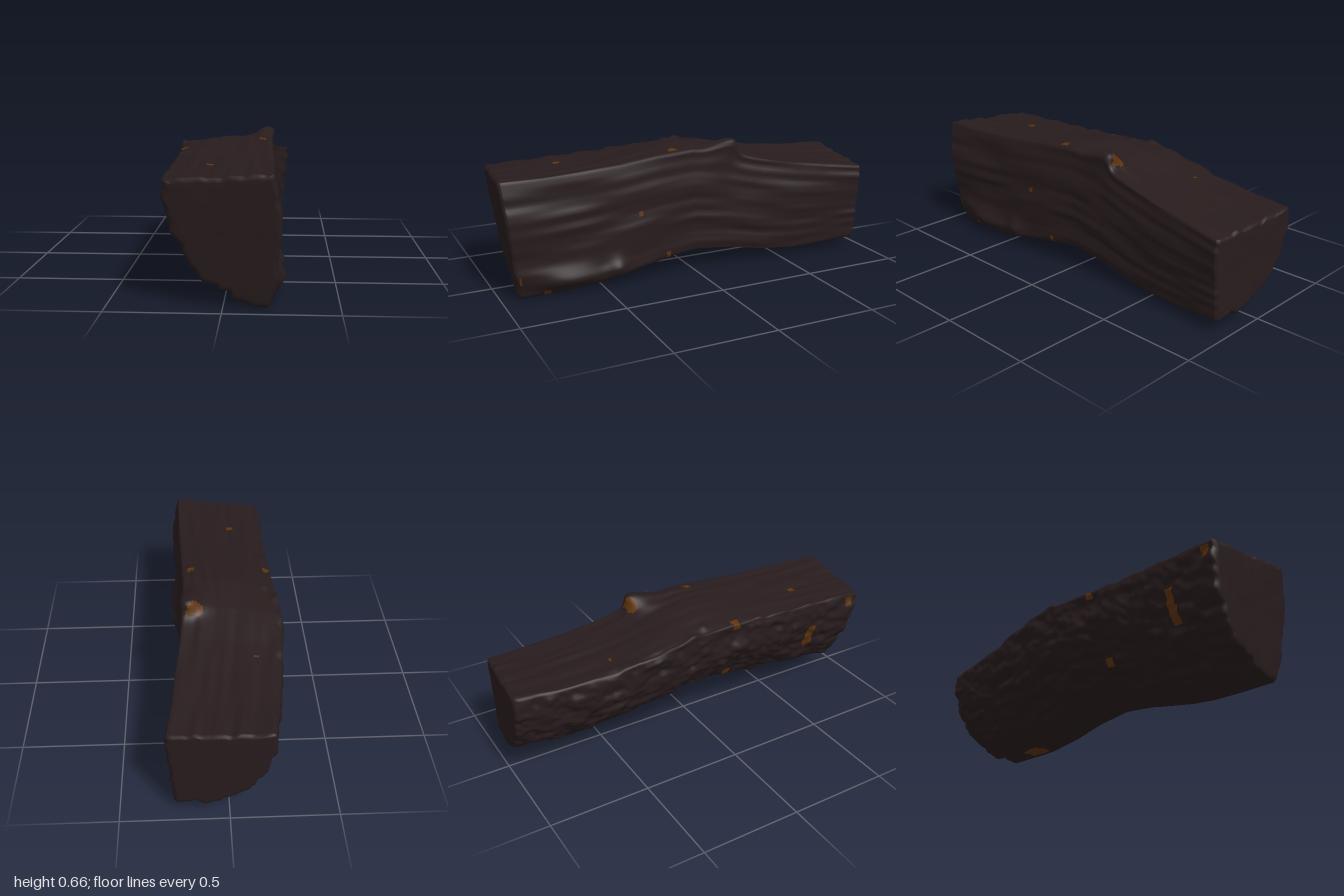
import * as THREE from 'three';

const RINGS = 170, SIDES = 150;

// Seeded smooth noise, -1..1
const hash = (a, b) => { const n = Math.sin(a * 127.1 + b * 311.7) * 43758.5453; return n - Math.floor(n); };
function noise(x, y) {
  const i = Math.floor(x), j = Math.floor(y), ease = t => t * t * (3 - 2 * t);
  const u = ease(x - i), v = ease(y - j), mix = THREE.MathUtils.lerp;
  return 2 * mix(mix(hash(i, j), hash(i + 1, j), u), mix(hash(i, j + 1), hash(i + 1, j + 1), u), v) - 1;
}
const { smoothstep } = THREE.MathUtils;

// Wedge along the log: z, top-left x, top-right x, top-left y, top-right y, bottom x, bottom y
const STATIONS = [
  [-1.0, -0.195, 0.275, 0.495, 0.462, 0.245, 0.06],
  [-0.8, -0.225, 0.25, 0.495, 0.485, 0.235, 0.05],
  [-0.6, -0.25, 0.235, 0.508, 0.515, 0.225, 0.04],
  [-0.4, -0.275, 0.21, 0.535, 0.55, 0.22, 0.055],
  [-0.2, -0.285, 0.19, 0.575, 0.595, 0.21, 0.09],
  [0.0, -0.27, 0.19, 0.59, 0.63, 0.205, 0.11],
  [0.2, -0.255, 0.20, 0.585, 0.62, 0.215, 0.10],
  [0.4, -0.25, 0.205, 0.575, 0.60, 0.225, 0.065],
  [0.6, -0.25, 0.21, 0.565, 0.59, 0.22, 0.032],
  [0.8, -0.25, 0.215, 0.56, 0.585, 0.21, 0.018],
  [1.0, -0.25, 0.215, 0.555, 0.585, 0.195, 0.007],
];
function station(z) {
  const f = (z + 1) * 5, i = Math.min(9, Math.floor(f));
  return STATIONS[i].map((v, k) => v + (STATIONS[i + 1][k] - v) * (f - i));
}

// Clean cross-section: split top, split right side, curved bark back to the start
const TOP = 0.27, SIDE = 0.55;
function contour(s, z) {
  const [, xl, xr, yl, yr, xb, yb] = station(z);
  const middle = Math.exp(-((z / 0.3) ** 2));
  if (s < TOP) {
    const t = s / TOP;
    return [xl + (xr - xl) * t, yl + (yr - yl) * t + 0.02 * middle * Math.sin(Math.PI * t)];
  }
  if (s < SIDE) {
    const t = (s - TOP) / (SIDE - TOP), bulge = 0.014 + 0.026 * smoothstep(z, 0.5, 1);
    return [xr + (xb - xr) * t + bulge * Math.sin(Math.PI * t), yr + (yb - yr) * t];
  }
  // The bark is fuller towards the back
  const t = (s - SIDE) / (1 - SIDE), u = 1 - t, w = xb - xl, h = yl - yb;
  const full = 1 - smoothstep(z, -1, 0);
  const bez = (a, b, c, d) => a * u * u * u + 3 * b * u * u * t + 3 * c * u * t * t + d * t * t * t;
  return [
    bez(xb, xb - (0.55 + 0.08 * full) * w, xl - (0.03 + 0.03 * middle) * w, xl),
    bez(yb, yb + (0.03 - 0.04 * full) * h, yl - (0.58 + 0.06 * full) * h, yl),
  ];
}

// Knots and flakes: centre, radius, push
const KNOTS = [
  [[0.16, 0.62, -0.15], [0.07, 0.09, 0.075], [0.015, 0.06, -0.075]],
  [[-0.27, 0.58, -0.10], [0.025, 0.04, 0.03], [0, 0.022, 0]],
  [[-0.22, 0.59, -0.02], [0.02, 0.04, 0.025], [0, 0.012, 0]],
  [[0.24, 0.10, 0.43], [0.06, 0.05, 0.05], [0.03, 0, 0]],
  [[0.23, 0.085, 0.69], [0.08, 0.05, 0.18], [0.045, 0, 0]],
];

// Slanted saw cuts
const frontCut = (x, y) => 0.982 + 0.1 * (x - 0.2) + 0.13 * (y - 0.585);
const backCut = (x, y) => -0.94 - 0.1 * (0.28 - x) - 0.02 * (y - 0.3);

function surfacePoint(i, j) {
  const z0 = -1 + 2 * i / RINGS, s = j / SIDES, e = 0.004;
  const a = contour((s - e + 1) % 1, z0), b = contour((s + e) % 1, z0);
  let [x, y] = contour(s, z0);
  const dx = b[0] - a[0], dy = b[1] - a[1], len = Math.hypot(dx, dy) || 1;
  // Long grain on split faces, lumpy flakes on bark, a ragged upper bark edge
  const barkiness = smoothstep(s, SIDE, SIDE + 0.04) * (1 - smoothstep(s, 0.98, 1));
  const grain = 0.006 * noise(s * 55, z0 * 3 + 9) + 0.005 * noise(s * 16, z0 * 4);
  const bark = 0.011 * noise(s * 50, z0 * 13) + 0.011 * noise(s * 24 + 5, z0 * 7) + 0.006 * noise(s * 70, z0 * 32);
  const rim = Math.exp(-((Math.min(s, 1 - s) / 0.015) ** 2));
  const d = (s === 0 ? 0 : 1) * (grain * (1 - barkiness) + bark * barkiness);
  x -= d * dy / len;
  y += d * dx / len + rim * 0.01 * noise(z0 * 18, 3.5);
  const t = i / RINGS;
  const p = [x, y, backCut(x, y) * (1 - t) + frontCut(x, y) * t];
  const base = [...p];
  for (const [c, r, push] of KNOTS) {
    const q = c.reduce((sum, v, k) => sum + ((base[k] - v) / r[k]) ** 2, 0);
    for (let k = 0; k < 3; k++) p[k] += push[k] * Math.exp(-q);
  }
  p[1] = Math.max(p[1], 0);
  return p;
}

// Exposed wood spots: centre and half size
const SPOTS = [
  [[0.22, 0.36, 0.30], [0.06, 0.012, 0.012]],
  [[-0.08, 0.57, 0.62], [0.016, 0.06, 0.016]],
  [[0.145, 0.64, 0.10], [0.018, 0.06, 0.02]],
  [[-0.15, 0.52, -0.50], [0.01, 0.06, 0.01]],
  [[0.13, 0.62, -0.23], [0.04, 0.03, 0.025]],
  [[-0.25, 0.57, 0.15], [0.022, 0.03, 0.022]],
  [[-0.23, 0.33, 0.65], [0.08, 0.085, 0.024]],
  [[-0.16, 0.22, 0.18], [0.05, 0.03, 0.022]],
  [[-0.25, 0.51, 0.88], [0.04, 0.025, 0.02]],
  [[0.17, 0.04, -0.67], [0.035, 0.05, 0.075]],
  [[0.225, 0.12, 0.15], [0.03, 0.015, 0.012]],
  [[0.23, 0.11, 0.92], [0.05, 0.026, 0.016]],
  [[0.23, 0.025, 0.78], [0.025, 0.018, 0.014]],
];
const inSpot = p => SPOTS.some(([c, r]) => c.every((v, k) => Math.abs(p[k] - v) < r[k]));

// Skin a list of closed rows; spotted faces go to the second material
function skin(rows, spotted) {
  const n = rows[0].length, plain = [], bare = [];
  for (let i = 0; i < rows.length - 1; i++) {
    for (let j = 0; j < n; j++) {
      const k = (j + 1) % n, a = i * n + j, b = i * n + k, c = a + n, d = b + n;
      (spotted && inSpot(rows[i][j]) ? bare : plain).push(a, c, b, b, c, d);
    }
  }
  const g = new THREE.BufferGeometry();
  g.setAttribute('position', new THREE.Float32BufferAttribute(rows.flat(2), 3));
  g.setIndex([...plain, ...bare]);
  g.addGroup(0, plain.length, 0);
  g.addGroup(plain.length, bare.length, 1);
  g.computeVertexNormals();
  return g;
}

// Sawn end: rows shrinking to the middle, with a softened rim
function endRows(rim, cut, out) {
  const cx = 0.05, cy = 0.34;
  return [1, 0.98, 0.95, 0.9, 0.75, 0.5, 0.25, 0.001].map((k, r) => rim.map(([px, py, pz]) => {
    if (r === 0) return [px, py, pz];
    const x = cx + (px - cx) * k, y = cy + (py - cy) * k;
    return [x, y, cut(x, y) + out * (0.016 * (1 - (1 - Math.min(r, 3) / 3) ** 2) + 0.002 * noise(x * 14, y * 14))];
  }));
}

export function createModel() {
  const wood = new THREE.MeshStandardMaterial({ color: 0x281c1d });
  wood.name = 'dark wood';
  const bareWood = new THREE.MeshStandardMaterial({ color: 0x5c320c });
  bareWood.name = 'exposed orange wood';

  const rows = [];
  for (let i = 0; i <= RINGS; i++) {
    rows.push(Array.from({ length: SIDES }, (_, j) => surfacePoint(i, j)));
  }

  const group = new THREE.Group();
  group.name = 'splitLog';
  const add = (name, geometry) => {
    const mesh = new THREE.Mesh(geometry, [wood, bareWood]);
    mesh.name = name;
    group.add(mesh);
  };
  add('logSides', skin(rows, true));
  add('frontEnd', skin(endRows(rows[RINGS], frontCut, 1), false));
  add('backEnd', skin(endRows(rows[0], backCut, -1).reverse(), false));
  return group;
}
